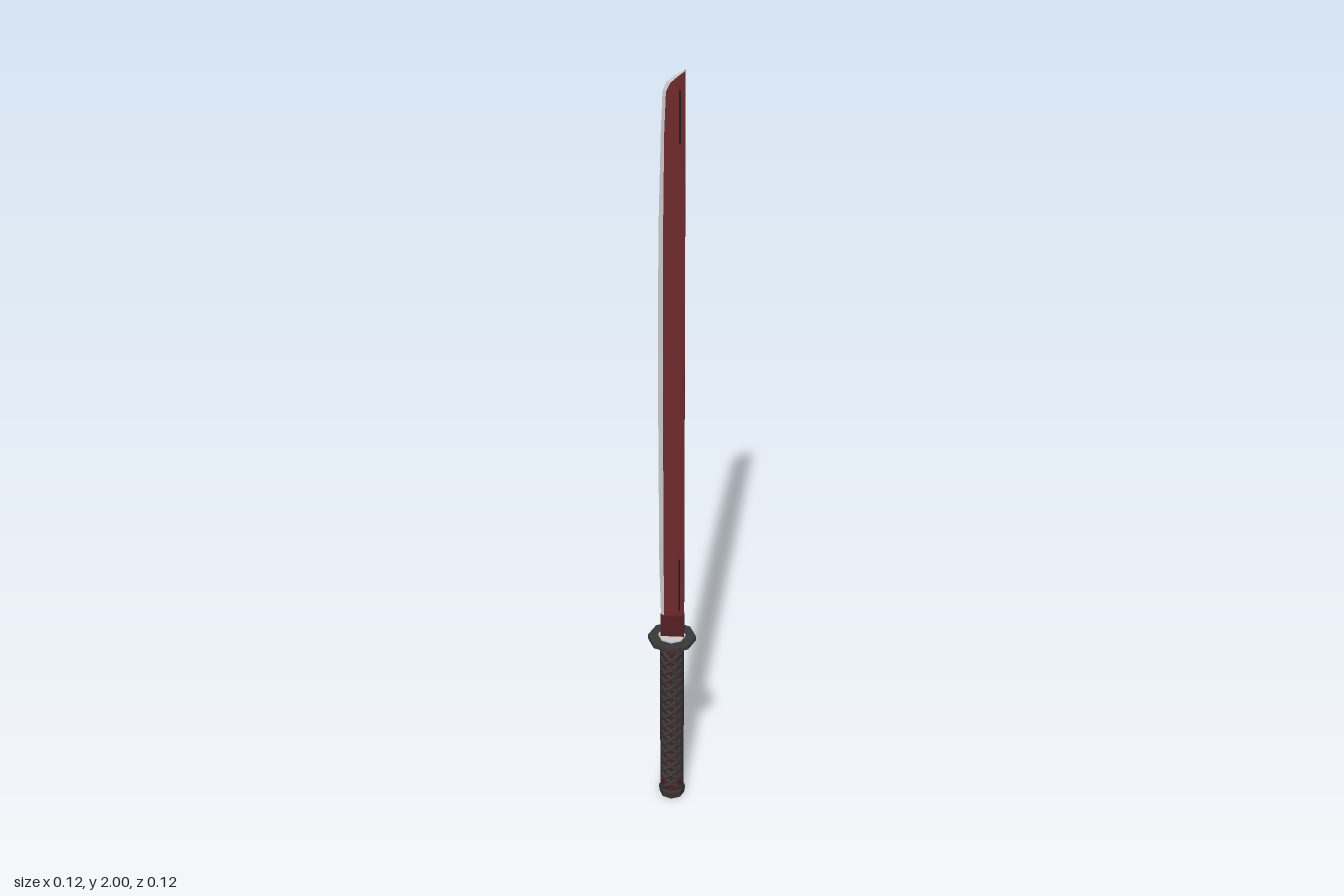
import * as THREE from 'three';

const paint = (color) => new THREE.MeshStandardMaterial({ color, flatShading: true });

// Flat-shaded solid through rings of [x, y, z] points, each ring turning from +x towards +z
function loft(rings) {
  const n = rings[0].length, last = rings.length - 1, index = [];
  for (let r = 0; r < last; r++) {
    for (let i = 0; i < n; i++) {
      const a = r * n + i, b = r * n + (i + 1) % n;
      index.push(a, a + n, b, b, a + n, b + n);
    }
  }
  for (let i = 1; i < n - 1; i++) {
    index.push(0, i, i + 1);
    index.push(last * n, last * n + i + 1, last * n + i);
  }
  const g = new THREE.BufferGeometry();
  g.setAttribute('position', new THREE.Float32BufferAttribute(rings.flat(2), 3));
  g.setIndex(index);
  const flat = g.toNonIndexed();
  flat.computeVertexNormals();
  return flat;
}

export function createModel() {
  const sword = new THREE.Group();
  sword.name = 'sword';
  const red = paint(0x6e2a2c), darkRed = paint(0x542024);
  const dark = paint(0x383838), black = paint(0x1c1a1b), steel = paint(0xcccccc);

  function add(name, geometry, material, parent = sword) {
    const mesh = new THREE.Mesh(geometry, material);
    mesh.name = name;
    parent.add(mesh);
    return mesh;
  }
  // Eight-sided disc between two heights
  function disc(name, radius, y0, y1, material, topRadius = radius) {
    const mesh = add(name, new THREE.CylinderGeometry(topRadius, radius, y1 - y0, 8), material);
    mesh.position.y = (y0 + y1) / 2;
  }

  // Blade stations: height, cutting edge x, bevel line x
  const stations = [
    [0.54, -0.027, -0.019], [0.7, -0.031, -0.02], [1.2, -0.033, -0.021],
    [1.6, -0.031, -0.02], [1.85, -0.025, -0.017], [1.95, -0.021, -0.013],
    [1.972, -0.012, -0.003], [1.988, 0.005, 0.014], [2, 0.027, 0.0285],
  ];
  const back = 0.03, t = 0.005, tBack = 0.0025;
  add('bladeBody', loft(stations.map(([y, , bevel]) => {
    const ridge = Math.max(bevel + 0.0005, 0.017);
    return [[back, y, tBack], [ridge, y, t], [bevel, y, t],
      [bevel, y, -t], [ridge, y, -t], [back, y, -tBack]];
  })), red);
  add('cuttingEdge', loft(stations.map(([y, edge, bevel]) =>
    [[bevel, y, t], [edge, y, 0], [bevel, y, -t]])), steel);

  // Dark grooves near both ends of the blade
  for (const [y, length] of [[0.64, 0.15], [1.89, 0.13]]) {
    add('bladeGroove', new THREE.BoxGeometry(0.004, length, 0.0104), black).position.set(0.018, y, 0);
  }

  // Collar at the base of the blade
  add('bladeCollar', new THREE.BoxGeometry(0.058, 0.065, 0.018), darkRed).position.set(0.001, 0.5175, 0);

  // Guard with a pale washer on each side
  disc('guard', 0.06, 0.476, 0.486, dark);
  disc('upperWasher', 0.034, 0.486, 0.49, steel);
  disc('lowerWasher', 0.034, 0.472, 0.476, steel);

  // Grip core, end rings and pommel
  disc('gripCore', 0.027, 0.015, 0.472, darkRed);
  disc('gripCollar', 0.031, 0.452, 0.472, dark);
  disc('pommel', 0.031, 0, 0.02, dark, 0.034);

  // Smooth panels along the narrow sides of the grip
  for (const side of [1, -1]) {
    const start = side * Math.PI / 2 - 0.62;
    const panel = new THREE.CylinderGeometry(0.03, 0.03, 0.44, 3, 1, true, start, 1.24);
    const mesh = add('gripSidePanel', panel, dark);
    mesh.material = dark.clone();
    mesh.material.side = THREE.DoubleSide;
    mesh.position.y = 0.235;
  }

  // Crossed wrapping on the front and back of the grip
  const wrap = new THREE.Group();
  wrap.name = 'gripWrap';
  sword.add(wrap);
  const rise = 0.055, radius = 0.0247;
  const strapGeometry = (direction) => {
    const points = [];
    for (let i = 0; i <= 6; i++) {
      const u = i / 6, a = THREE.MathUtils.lerp(0.3, Math.PI - 0.3, u);
      points.push(new THREE.Vector3(radius * Math.cos(a), direction * (u - 0.5) * rise, radius * Math.sin(a)));
    }
    return new THREE.TubeGeometry(new THREE.CatmullRomCurve3(points), 8, 0.0063, 5);
  };
  const straps = [strapGeometry(1), strapGeometry(-1)];
  for (let row = 0; row < 15; row++) {
    for (const strap of straps) {
      for (const turn of [0, Math.PI]) {
        const mesh = add('wrapStrap', strap, dark, wrap);
        mesh.position.y = 0.046 + row * 0.0272;
        mesh.rotation.y = turn;
      }
    }
  }
  return sword;
}
